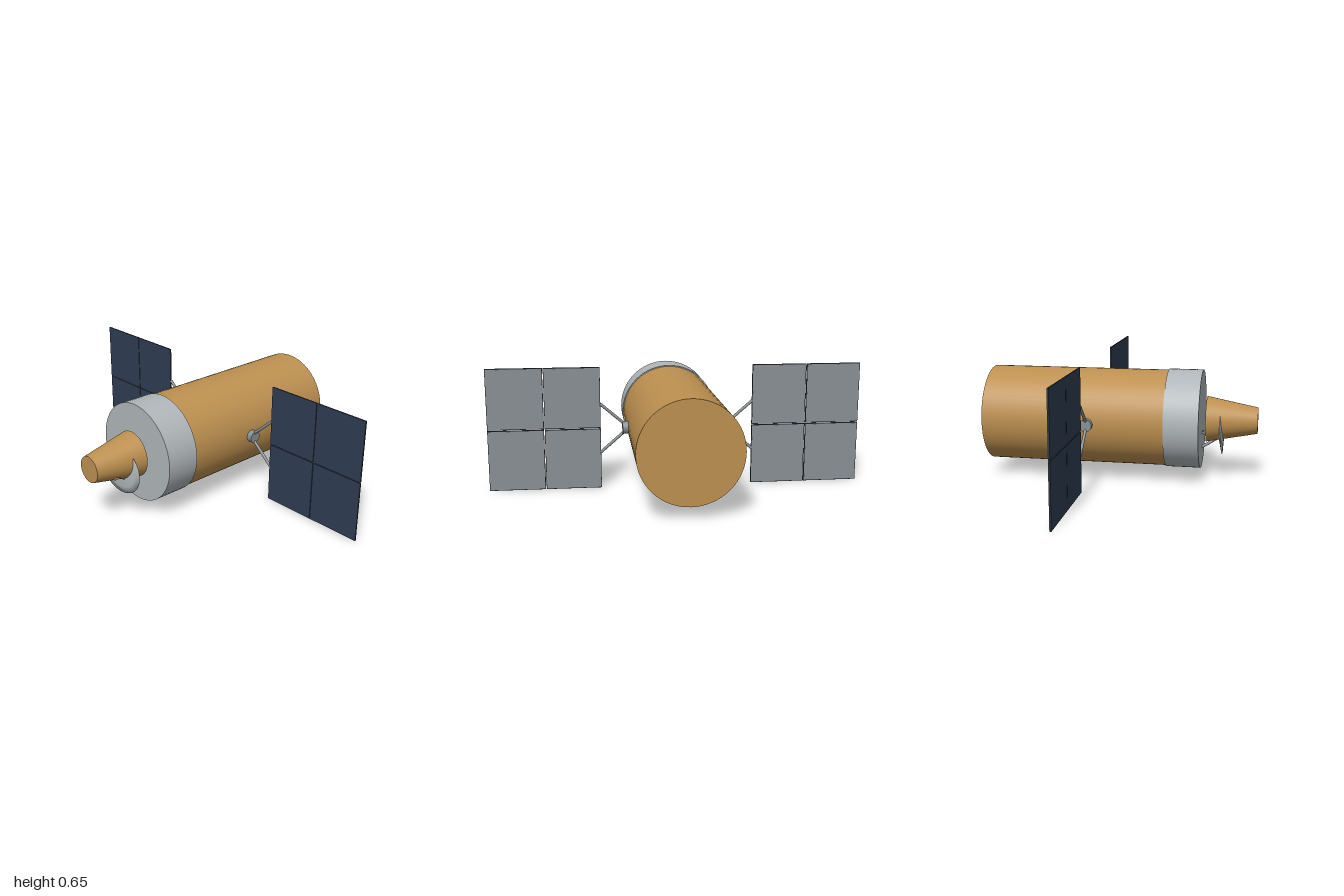
import * as THREE from 'three';

export function createModel() {
  const mat = (name, color, side = THREE.FrontSide) => {
    const m = new THREE.MeshStandardMaterial({ color, side });
    m.name = name;
    return m;
  };
  const gold = mat('gold foil', 0xbd9050);
  const silver = mat('light grey', 0xb0b6b9);
  const grey = mat('mid grey', 0x8a9095);
  const navy = mat('solar navy', 0x2e3d52);
  const dark = mat('dark frame', 0x33383d);

  const root = new THREE.Group();
  root.name = 'spacecraft';
  const AXIS = 0.327;

  const add = (parent, name, geo, material, x = 0, y = 0, z = 0) => {
    const m = new THREE.Mesh(geo, material);
    m.name = name;
    m.position.set(x, y, z);
    parent.add(m);
    return m;
  };

  // Cylinder or cone lying along z
  const alongZ = (name, rFront, rBack, z0, z1, material) => {
    const g = new THREE.CylinderGeometry(rFront, rBack, z1 - z0, 64).rotateX(Math.PI / 2);
    return add(root, name, g, material, 0, AXIS, (z0 + z1) / 2);
  };

  // Thin rod between two points
  const rod = (parent, name, a, b, r, material) => {
    const p = new THREE.Vector3(...a), q = new THREE.Vector3(...b);
    const d = q.clone().sub(p);
    const m = add(parent, name, new THREE.CylinderGeometry(r, r, d.length(), 12), material);
    m.position.copy(p).add(q).multiplyScalar(0.5);
    m.quaternion.setFromUnitVectors(new THREE.Vector3(0, 1, 0), d.normalize());
  };

  // Main hull, collar and nose cone
  alongZ('body', 0.262, 0.262, -0.735, 0.26, gold);
  alongZ('collar', 0.268, 0.268, 0.25, 0.435, silver);
  alongZ('noseCone', 0.071, 0.124, 0.46, 0.735, gold);

  // Shallow dish around the nose, slightly tilted
  const profile = [[0, -0.02], [0.07, -0.014], [0.12, -0.006], [0.16, 0], [0.12, 0.004], [0.07, 0.009], [0, 0.012]]
    .map(([r, h]) => new THREE.Vector2(r, h));
  const dish = add(root, 'dish', new THREE.LatheGeometry(profile, 48).rotateX(Math.PI / 2), silver, 0, 0.267, 0.542);
  dish.scale.set(1, 0.8, 1);
  dish.rotation.x = -0.05;

  // Struts carrying the nose
  rod(root, 'lowerNoseStrut', [0, 0.165, 0.43], [0.06, 0.262, 0.605], 0.008, grey);
  for (const s of [-1, 1]) {
    rod(root, 'upperNoseStrut', [s * 0.02, 0.252, 0.43], [s * 0.008, 0.245, 0.48], 0.007, grey);
  }
  add(root, 'strutFitting', new THREE.BoxGeometry(0.03, 0.022, 0.04), gold, 0.06, 0.27, 0.615);

  // Solar wings
  const Z = -0.155, W = 0.294, H = 0.325;
  for (const s of [-1, 1]) {
    const wing = new THREE.Group();
    wing.name = s > 0 ? 'leftWing' : 'rightWing';
    root.add(wing);

    const hub = new THREE.CylinderGeometry(0.033, 0.033, 0.035, 24).rotateZ(Math.PI / 2);
    add(wing, 'hub', hub, grey, s * 0.274, AXIS, Z);

    for (const v of [-1, 1]) {
      rod(wing, 'wingStrut', [s * 0.28, AXIS + v * 0.02, Z], [s * 0.408, AXIS + v * 0.131, Z], 0.008, grey);
      // Two panels in this row, each with a cell face, core and back plate
      for (const x of [0.554, 0.852]) {
        const panel = new THREE.Group();
        panel.name = 'solarPanel';
        panel.position.set(s * x, AXIS + v * (H / 2 + 0.002), Z);
        wing.add(panel);
        add(panel, 'core', new THREE.BoxGeometry(W, H, 0.006), dark);
        add(panel, 'cellFace', new THREE.BoxGeometry(W, H, 0.002), navy, 0, 0, 0.004);
        add(panel, 'backPlate', new THREE.BoxGeometry(W - 0.006, H - 0.008, 0.002), grey, 0, 0, -0.004);
      }
    }
  }
  return root;
}
